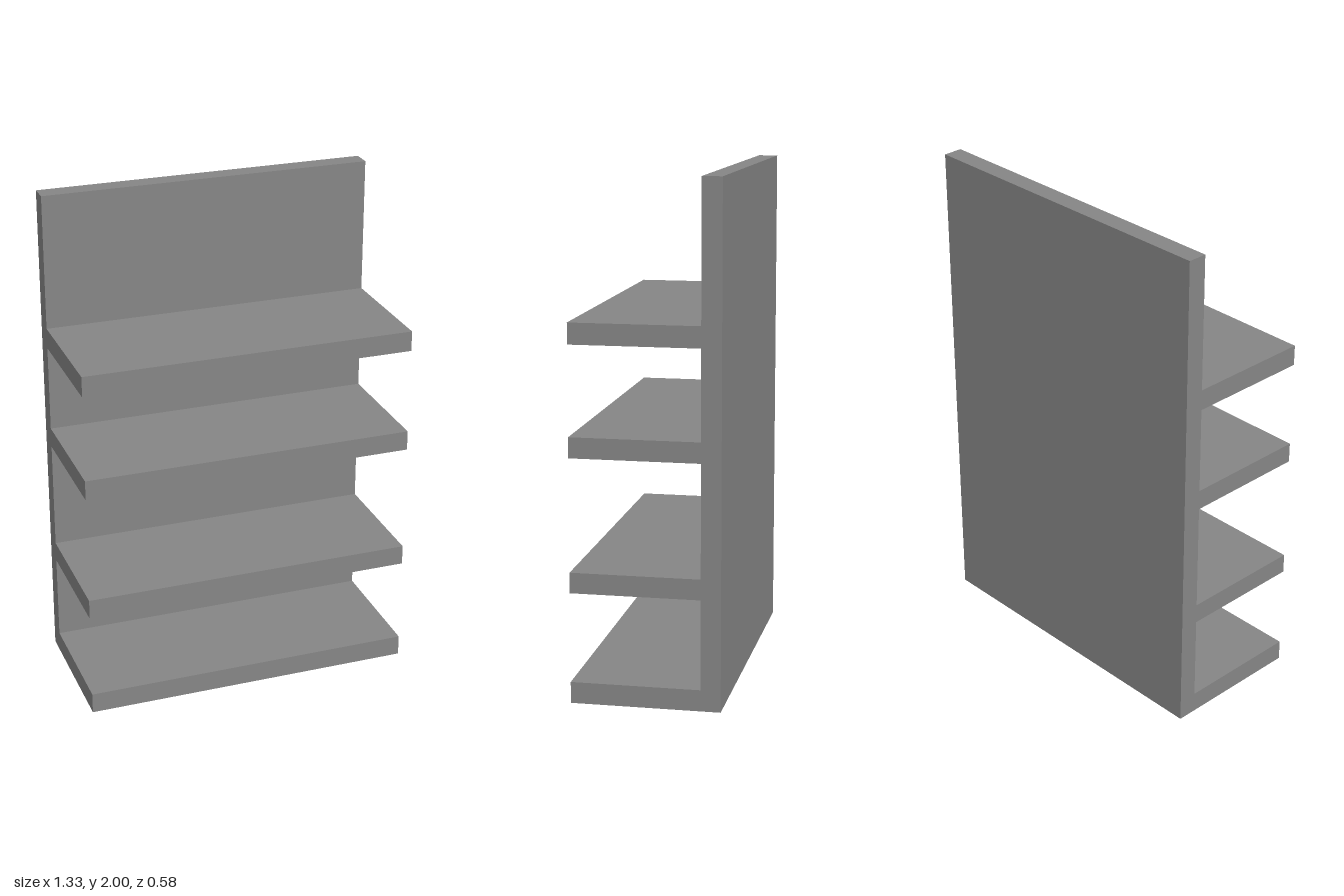
import * as THREE from 'three';

const HALF_W = 0.666, BACK = -0.289, PANEL = -0.212, FRONT = 0.289, TOP = 2;

// Shelves are hollow shells; only the highest one has a closed underside
const SHELVES = [
  { y: 0, top: 0.083, closed: false },
  { y: 0.432, top: 0.512, closed: false },
  { y: 0.951, top: 1.031, closed: false },
  { y: 1.378, top: 1.46, closed: true },
];

const material = new THREE.MeshStandardMaterial({ color: 0x868686, side: THREE.DoubleSide });

// Full-width flat sheet between two (z, y) profile points, facing outward
function sheet(name, [z0, y0], [z1, y1]) {
  const geometry = new THREE.BufferGeometry();
  geometry.setAttribute('position', new THREE.Float32BufferAttribute([
    -HALF_W, y0, z0, HALF_W, y0, z0, HALF_W, y1, z1, -HALF_W, y1, z1,
  ], 3));
  geometry.setIndex([0, 1, 2, 0, 2, 3]);
  geometry.computeVertexNormals();
  const mesh = new THREE.Mesh(geometry, material);
  mesh.name = name;
  return mesh;
}

export function createModel() {
  const model = new THREE.Group();
  model.name = 'shelfUnit';
  const profile = [[BACK, 0]];

  // Shelves, with the strip of back panel above each one
  SHELVES.forEach(({ y, top, closed }, i) => {
    const shelf = new THREE.Group();
    shelf.name = `shelf${i + 1}`;
    const nextY = i + 1 < SHELVES.length ? SHELVES[i + 1].y : TOP;
    if (closed) shelf.add(sheet('shelfUnderside', [PANEL, y], [FRONT, y]));
    shelf.add(sheet('shelfFrontEdge', [FRONT, y], [FRONT, top]));
    shelf.add(sheet('shelfTop', [FRONT, top], [PANEL, top]));
    model.add(shelf, sheet('backPanelFront', [PANEL, top], [PANEL, nextY]));

    if (i > 0) profile.push([PANEL, y]);
    profile.push([FRONT, y], [FRONT, top], [PANEL, top]);
  });
  profile.push([PANEL, TOP], [BACK, TOP]);

  // Back panel top and rear
  model.add(
    sheet('backPanelTop', [PANEL, TOP], [BACK, TOP]),
    sheet('backPanelRear', [BACK, TOP], [BACK, 0]),
  );

  // Comb-shaped end faces, mirrored left and right
  const endShape = new THREE.Shape(profile.map(([z, y]) => new THREE.Vector2(z, y)));
  const endGeometry = new THREE.ShapeGeometry(endShape);
  for (const side of [-1, 1]) {
    const end = new THREE.Mesh(endGeometry, material);
    end.name = side < 0 ? 'rightEnd' : 'leftEnd';
    end.rotation.y = -Math.PI / 2;
    end.scale.z = -side;
    end.position.x = side * HALF_W;
    model.add(end);
  }
  return model;
}
